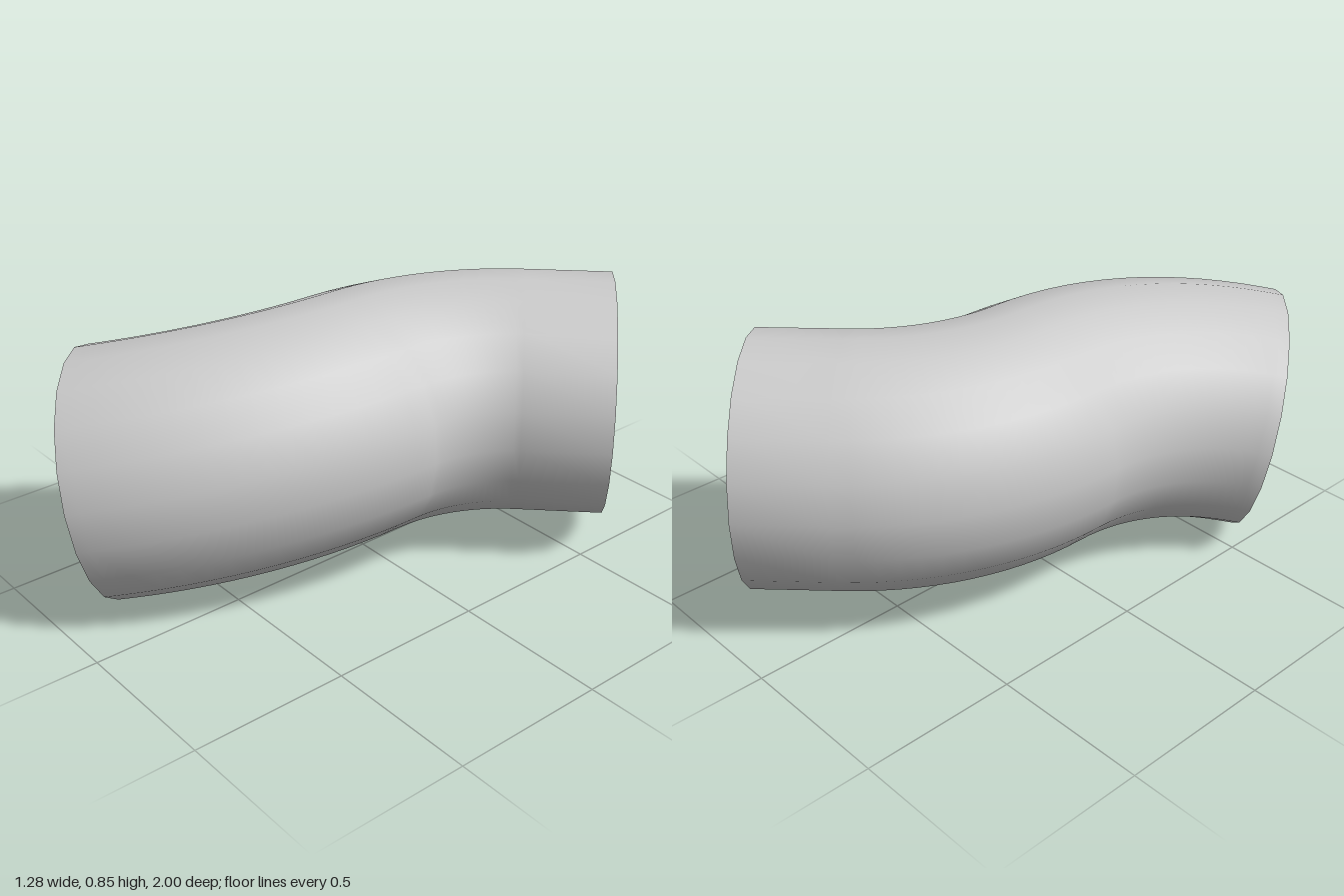
import * as THREE from 'three';

const SIDES = 20, OUTER = 0.391, INNER = 0.354;
const ORIGIN = new THREE.Vector3(-0.048, 0.471, 0); // where the two bends meet
const TWIST = THREE.MathUtils.degToRad(15);         // tilt of the front bend's plane

const Z = new THREE.Vector3(0, 0, 1);

// Each bend starts along z, turns 45 degrees towards "dir", then runs straight.
const backBend = { zSign: -1, dir: new THREE.Vector3(1, 0, 0), radius: 0.74, straight: 0.277 };
const frontBend = {
  zSign: 1, dir: new THREE.Vector3(-Math.cos(TWIST), -Math.sin(TWIST), 0), radius: 0.988, straight: 0.045,
};

// One cross-section ring of the pipe, at a turn angle and distance past the arc
function ring(bend, turn, extra, r) {
  const { zSign, dir, radius } = bend;
  const tangent = Z.clone().multiplyScalar(zSign * Math.cos(turn)).addScaledVector(dir, Math.sin(turn));
  const across = dir.clone().multiplyScalar(Math.cos(turn)).addScaledVector(Z, -zSign * Math.sin(turn));
  const centre = ORIGIN.clone()
    .addScaledVector(dir, radius * (1 - Math.cos(turn)))
    .addScaledVector(Z, zSign * radius * Math.sin(turn))
    .addScaledVector(tangent, extra);
  return Array.from({ length: SIDES }, (_, j) => {
    const a = TWIST + (j / SIDES) * Math.PI * 2;
    const spoke = new THREE.Vector3(Math.cos(a), Math.sin(a), 0);
    const along = spoke.dot(dir);
    spoke.addScaledVector(dir, -along).addScaledVector(across, along);
    return centre.clone().addScaledVector(spoke, r);
  });
}

// All rings from the back opening to the front opening
function pipeRings(r) {
  const steps = 14, end = Math.PI / 4, rings = [];
  rings.push(ring(backBend, end, backBend.straight, r));
  for (let i = steps; i >= 0; i--) rings.push(ring(backBend, end * i / steps, 0, r));
  for (let i = 1; i <= steps; i++) rings.push(ring(frontBend, end * i / steps, 0, r));
  rings.push(ring(frontBend, end, frontBend.straight, r));
  return rings;
}

// Skin a list of rings into a smooth surface
function skin(name, rings, material) {
  const index = [];
  for (let i = 0; i < rings.length - 1; i++) {
    for (let j = 0; j < SIDES; j++) {
      const k = (j + 1) % SIDES;
      const a = i * SIDES + j, b = i * SIDES + k, c = b + SIDES, d = a + SIDES;
      index.push(a, b, c, a, c, d);
    }
  }
  const geometry = new THREE.BufferGeometry().setFromPoints(rings.flat());
  geometry.setIndex(index);
  geometry.computeVertexNormals();
  const mesh = new THREE.Mesh(geometry, material);
  mesh.name = name;
  return mesh;
}

export function createModel() {
  const group = new THREE.Group();
  group.name = 'bentPipe';
  const material = new THREE.MeshStandardMaterial({ color: 0xcccccc });
  const outer = pipeRings(OUTER), inner = pipeRings(INNER);

  group.add(skin('outerWall', outer, material));
  group.add(skin('innerWall', [...inner].reverse(), material));
  // Flat rims closing the wall at both openings
  group.add(skin('frontRim', [outer.at(-1), inner.at(-1)], material));
  group.add(skin('backRim', [inner[0], outer[0]], material));
  return group;
}
